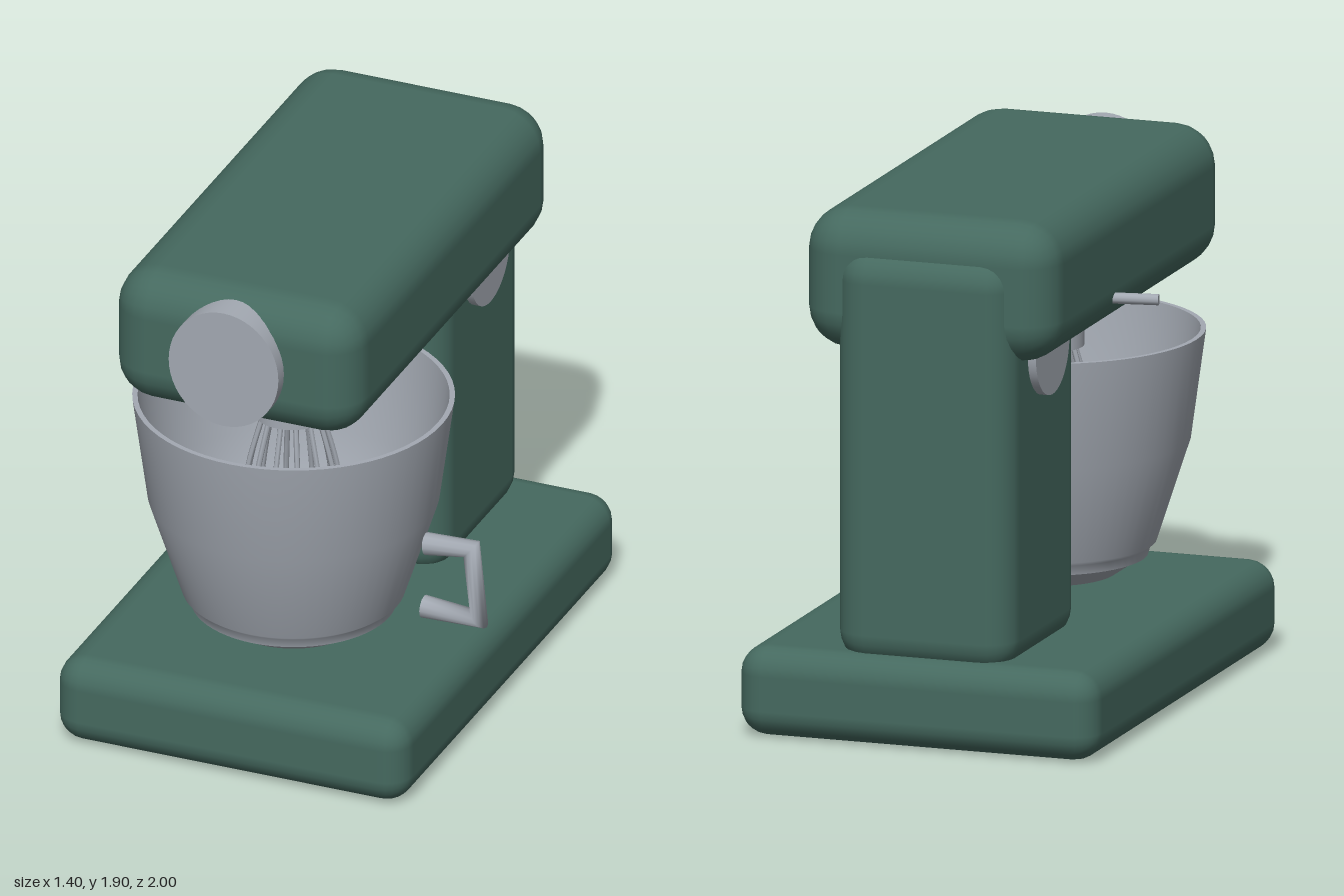
import * as THREE from 'three';
import { RoundedBoxGeometry } from 'three/addons/geometries/RoundedBoxGeometry.js';

export function createModel() {
  const group = new THREE.Group();
  const green = new THREE.MeshStandardMaterial({ color: 0x45695f });
  green.name = 'green enamel';
  const steel = new THREE.MeshStandardMaterial({ color: 0xa3a9b2, side: THREE.DoubleSide });
  steel.name = 'steel';
  const CX = -0.027;

  const add = (name, geometry, material, x = 0, y = 0, z = 0) => {
    const mesh = new THREE.Mesh(geometry, material);
    mesh.name = name;
    mesh.position.set(x, y, z);
    group.add(mesh);
    return mesh;
  };

  // Rounded block given by its extents in y and z, centred on CX
  const block = (name, width, y0, y1, z0, z1, radius) =>
    add(name, new RoundedBoxGeometry(width, y1 - y0, z1 - z0, 3, radius), green,
      CX, (y0 + y1) / 2, (z0 + z1) / 2);

  // Housing
  block('base', 1.345, 0, 0.325, -1, 0.972, 0.1);
  block('column', 0.665, 0.27, 1.78, -0.935, -0.18, 0.12);
  block('head', 0.945, 1.39, 1.9, -0.893, 0.95, 0.15);

  // Front cap, slightly taller than wide
  const cap = add('frontCap', new THREE.CylinderGeometry(0.21, 0.21, 0.12, 48), steel, CX, 1.645, 0.94);
  cap.rotation.x = Math.PI / 2;
  cap.scale.z = 1.07;

  // Hinge pin whose ends show on both sides of the column
  const hinge = add('hingePin', new THREE.CylinderGeometry(0.175, 0.175, 0.725, 40), steel, CX, 1.402, -0.555);
  hinge.rotation.z = Math.PI / 2;

  // Speed lever on the right side
  const rod = (name, a, b, radius) => {
    const dir = b.clone().sub(a);
    const mesh = add(name, new THREE.CylinderGeometry(radius, radius, dir.length(), 12), steel);
    mesh.position.copy(a).lerp(b, 0.5);
    mesh.quaternion.setFromUnitVectors(new THREE.Vector3(0, 1, 0), dir.normalize());
  };
  rod('speedLever', new THREE.Vector3(-0.65, 1.505, -0.175), new THREE.Vector3(-0.4, 1.505, -0.22), 0.02);

  // Bowl: outer wall, inner wall with rim, and foot
  const BZ = 0.368;
  const lathe = (name, profile) =>
    add(name, new THREE.LatheGeometry(profile.map(([r, y]) => new THREE.Vector2(r, y)), 64), steel, CX, 0, BZ);
  lathe('bowlOuter', [[0.365, 0.42], [0.375, 0.455], [0.395, 0.47], [0.515, 0.84], [0.569, 1.235]]);
  lathe('bowlRim', [[0.569, 1.235], [0.55, 1.235]]);
  lathe('bowlInner', [[0.55, 1.235], [0.497, 0.84], [0.375, 0.48], [0, 0.45]]);
  lathe('bowlFoot', [[0.255, 0.355], [0.35, 0.42], [0.365, 0.421]]);
  lathe('bowlBottom', [[0, 0.355], [0.255, 0.355]]);

  // Bowl handle: a three-piece bent tube with mitred corners
  const bend = new THREE.CatmullRomCurve3(
    [[0.467, 0.726], [0.64, 0.74], [0.669, 0.468], [0.457, 0.474]]
      .map(([x, y]) => new THREE.Vector3(x, y, 0.335)));
  bend.getPointAt = (u, target) => bend.getPoint(u, target);
  bend.getTangentAt = (u, target) => bend.getTangent(u, target);
  add('bowlHandle', new THREE.TubeGeometry(bend, 3, 0.041, 12), steel);

  // Beater hub and whisk wires inside the bowl
  add('beaterHub', new THREE.CylinderGeometry(0.135, 0.135, 0.21, 40), steel, CX, 1.275, 0.38);
  const wire = new THREE.CatmullRomCurve3(
    [[0.1, 1.18], [0.16, 0.95], [0.18, 0.75], [0.11, 0.58], [0, 0.53]]
      .map(([x, y]) => new THREE.Vector3(x, y, 0)));
  const wireGeometry = new THREE.TubeGeometry(wire, 16, 0.01, 6);
  for (let i = 0; i < 12; i++) {
    add('whiskWire', wireGeometry, steel, CX, 0, 0.38).rotation.y = (i / 12) * Math.PI * 2;
  }

  return group;
}
